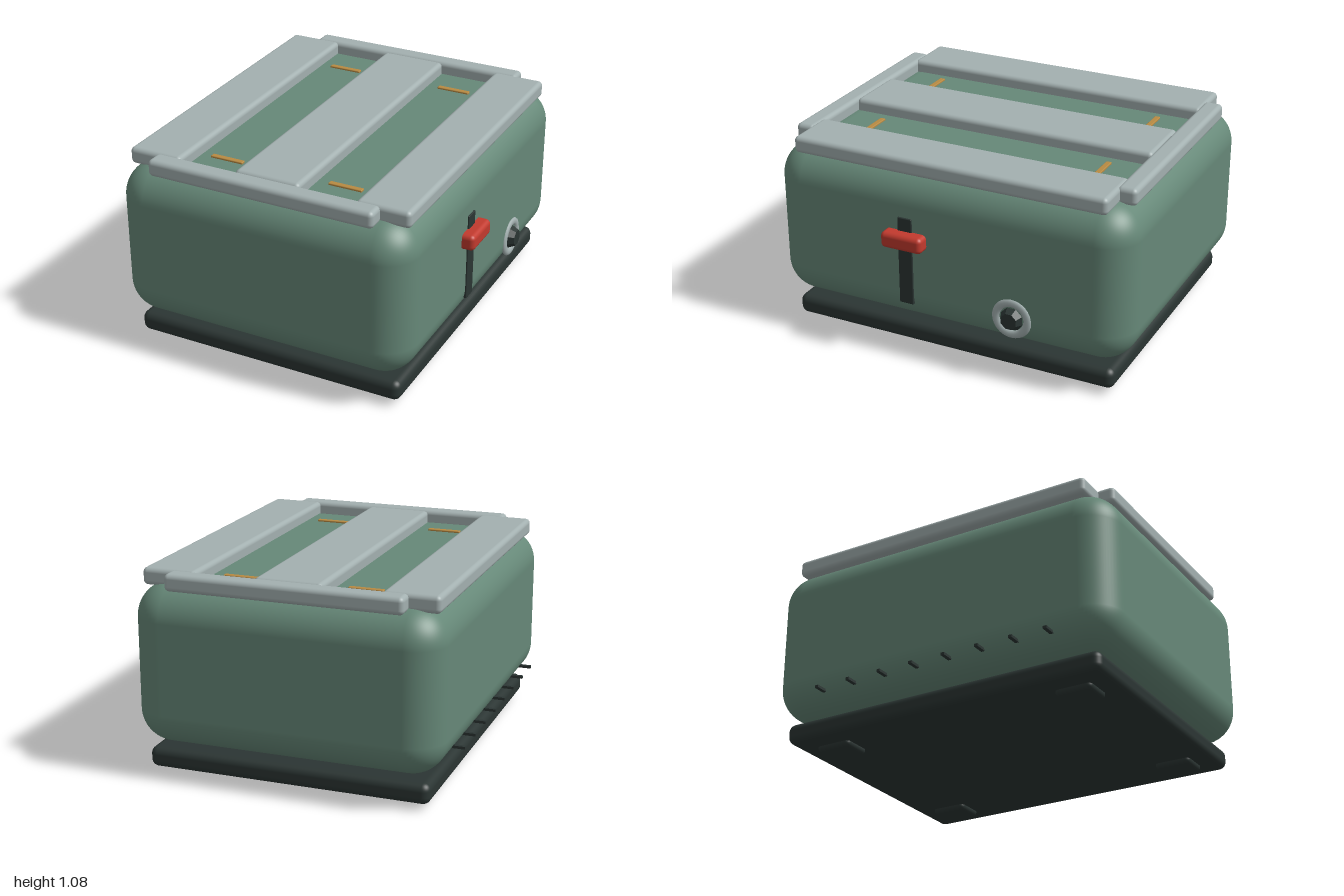
import * as THREE from 'three';
import { RoundedBoxGeometry } from 'three/addons/geometries/RoundedBoxGeometry.js';

const paint = (color) => new THREE.MeshStandardMaterial({ color });

export function createModel() {
  const toaster = new THREE.Group();
  toaster.name = 'toaster';
  const green = paint(0x668878), dark = paint(0x2b3533), silver = paint(0xa3b0b0);
  const red = paint(0xc23a2e), brass = paint(0xb88a42);

  const add = (name, geometry, material, x, y, z) => {
    const mesh = new THREE.Mesh(geometry, material);
    mesh.name = name;
    mesh.position.set(x, y, z);
    toaster.add(mesh);
    return mesh;
  };
  // Rounded block given by its extents on each axis
  const block = (name, material, [x0, x1], [y0, y1], [z0, z1], radius, segments = 4) =>
    add(name, new RoundedBoxGeometry(x1 - x0, y1 - y0, z1 - z0, segments, radius), material,
      (x0 + x1) / 2, (y0 + y1) / 2, (z0 + z1) / 2);

  // Housing floating just above the base plate
  block('body', green, [-0.83, 0.8], [0.17, 1.015], [-1, 1], 0.18, 8);
  block('base', dark, [-0.765, 0.74], [0.03, 0.14], [-0.915, 0.915], 0.04);
  for (const x of [-0.568, 0.54])
    for (const z of [-0.7, 0.71])
      block('foot', dark, [x - 0.084, x + 0.084], [0, 0.06], [z - 0.1, z + 0.1], 0.025);

  // Top rails framing the two bread slots
  const railY = [0.99, 1.08];
  block('sideRailRight', silver, [-0.795, -0.5], railY, [-0.87, 0.87], 0.025);
  block('centreRail', silver, [-0.195, 0.165], railY, [-0.86, 0.855], 0.025);
  block('sideRailLeft', silver, [0.475, 0.765], railY, [-0.87, 0.87], 0.025);
  block('endRailFront', silver, [-0.637, 0.608], railY, [0.85, 0.955], 0.025);
  block('endRailBack', silver, [-0.637, 0.608], railY, [-0.955, -0.85], 0.025);

  // Brass guide wires across each slot
  for (const x of [-0.35, 0.32])
    for (const z of [-0.655, 0.655])
      block('slotWire', brass, [x - 0.092, x + 0.092], [1.0, 1.025], [z - 0.015, z + 0.015], 0.005, 2);

  // Lever and its track on the left side
  block('leverTrack', dark, [0.77, 0.808], [0.292, 0.775], [0.165, 0.245], 0.005, 2);
  block('lever', red, [0.775, 0.866], [0.615, 0.702], [0.085, 0.317], 0.025);

  // Browning dial: flattened trim ring with a faceted knob
  const ring = add('dialRing', new THREE.TorusGeometry(0.087, 0.022, 10, 32), silver, 0.798, 0.345, -0.39);
  ring.rotation.y = Math.PI / 2;
  ring.scale.z = 0.6;
  const knobMaterial = paint(0x2b3533);
  knobMaterial.flatShading = true;
  const knobShape = new THREE.CylinderGeometry(0.045, 0.07, 0.05, 8);
  knobShape.rotateY(Math.PI / 8);
  knobShape.rotateZ(-Math.PI / 2);
  add('dialKnob', knobShape, knobMaterial, 0.811, 0.345, -0.39);

  // Row of small vent fins low on the right side
  for (let i = 0; i < 8; i++) {
    const z = -0.652 + i * 0.191;
    add('ventFin', new THREE.BoxGeometry(0.1, 0.014, 0.02), dark, -0.82, 0.258, z);
  }
  return toaster;
}
